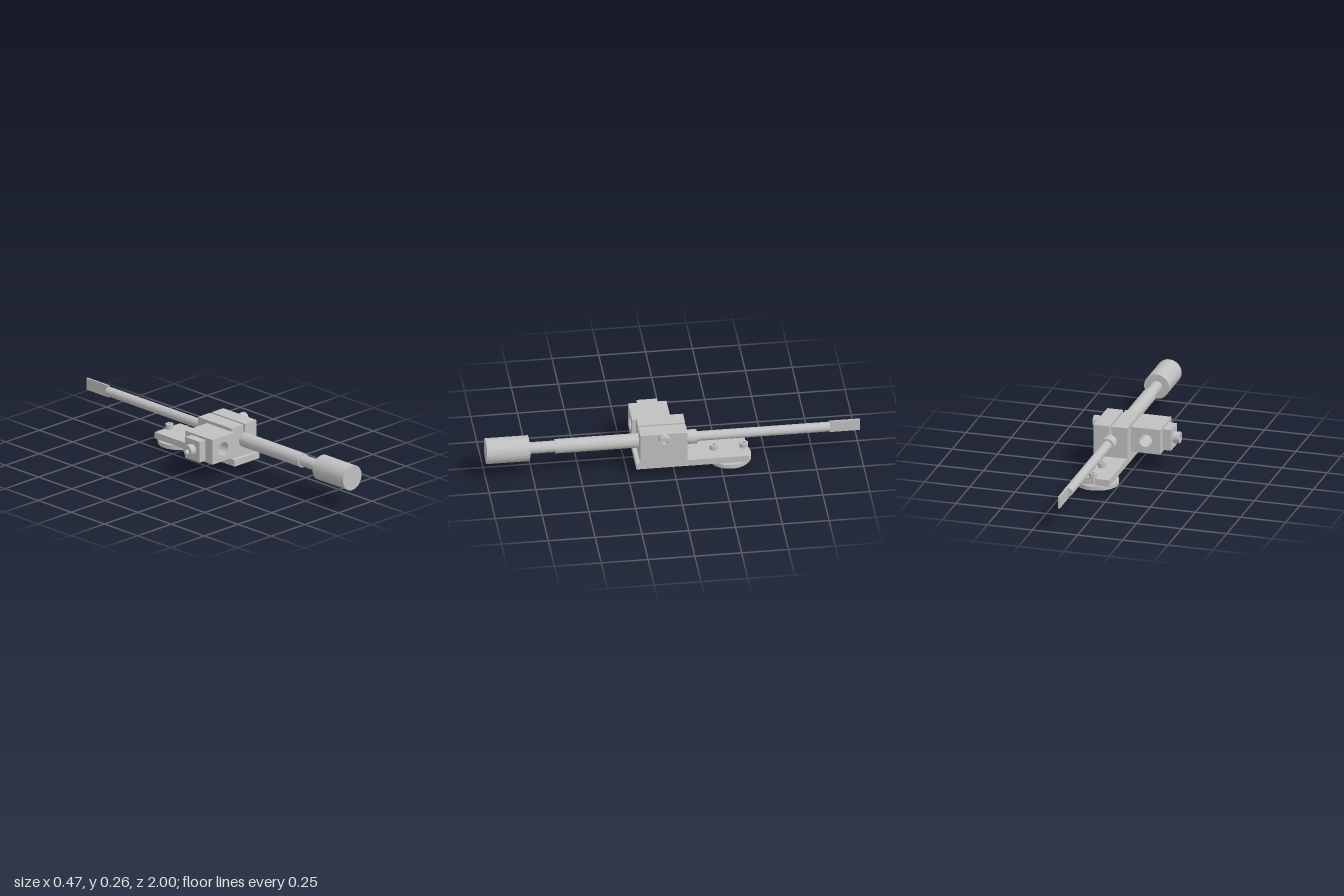
import * as THREE from 'three';

const AX = 0.104; // rod axis x
const AY = 0.17;  // rod axis y

export function createModel() {
  const model = new THREE.Group();
  model.name = 'clampedRodFixture';
  const steel = new THREE.MeshStandardMaterial({ color: 0xc0c0c0, flatShading: true });
  steel.name = 'grey steel';

  function add(name, geometry, x = 0, y = 0, z = 0, parent = model) {
    const mesh = new THREE.Mesh(geometry, steel);
    mesh.name = name;
    mesh.position.set(x, y, z);
    parent.add(mesh);
    return mesh;
  }
  const box = (name, x0, x1, y0, y1, z0, z1) =>
    add(name, new THREE.BoxGeometry(x1 - x0, y1 - y0, z1 - z0), (x0 + x1) / 2, (y0 + y1) / 2, (z0 + z1) / 2);
  const polygon = (points) => new THREE.Shape(points.map(([x, y]) => new THREE.Vector2(x, y)));
  const extrude = (shape, depth) =>
    new THREE.ExtrudeGeometry(shape, { depth, bevelEnabled: false, curveSegments: 32 });

  // cylinder lying along z on the rod axis
  function rod(name, r, z0, z1) {
    const geometry = new THREE.CylinderGeometry(r, r, z1 - z0, 32).rotateX(Math.PI / 2);
    add(name, geometry, AX, AY, (z0 + z1) / 2);
  }

  // socket head screw, base at the origin and head pointing to +z
  function screw(name, r, height, shankR, shankLength) {
    const group = new THREE.Group();
    group.name = name;
    const ring = new THREE.Shape().absarc(0, 0, r, 0, Math.PI * 2);
    const hex = [];
    for (let i = 0; i < 6; i++) {
      const a = -i * Math.PI / 3;
      hex.push(new THREE.Vector2(Math.cos(a) * r * 0.52, Math.sin(a) * r * 0.52));
    }
    ring.holes.push(new THREE.Path(hex));
    const floor = height * 0.4;
    add('socketHead', extrude(ring, height), 0, 0, 0, group);
    add('socketFloor', new THREE.CylinderGeometry(r * 0.6, r * 0.6, floor, 24).rotateX(Math.PI / 2), 0, 0, floor / 2, group);
    add('shank', new THREE.CylinderGeometry(shankR, shankR, shankLength, 24).rotateX(Math.PI / 2), 0, 0, -shankLength / 2, group);
    model.add(group);
    return group;
  }

  // split clamp block with the slot running down to the rod
  const clamp = polygon([[0.01, 0.083], [0.197, 0.083], [0.197, 0.256], [0.11, 0.256],
    [0.11, 0.19], [0.098, 0.19], [0.098, 0.256], [0.01, 0.256]]);
  add('clampBlock', extrude(clamp, 0.252), 0, 0, -0.067);

  // base plate with an open notch at the back end
  const plate = polygon([[0.01, -0.207], [0.197, -0.207], [0.197, 0.395], [AX + 0.012, 0.395],
    [AX + 0.012, 0.375], [AX - 0.012, 0.375], [AX - 0.012, 0.395], [0.01, 0.395]]);
  add('basePlate', extrude(plate, 0.036).rotateX(-Math.PI / 2), 0, 0.047, 0);

  // side block with a through hole
  const side = polygon([[-0.152, 0.1], [0.01, 0.1], [0.01, 0.239], [-0.152, 0.239]]);
  side.holes.push(new THREE.Path().absarc(-0.071, AY, 0.036, 0, Math.PI * 2, true));
  add('sideBlock', extrude(side, 0.205));
  box('sideJaw', -0.198, -0.152, 0.11, 0.227, 0.046, 0.154);

  // rod, handle and flat blade
  rod('mainRod', 0.0385, -0.127, 0.63);
  rod('handleNeck', 0.031, 0.63, 0.77);
  rod('handle', 0.069, 0.77, 1);
  rod('backRod', 0.026, -0.838, -0.127);
  box('flatBlade', AX - 0.005, AX + 0.005, 0.138, 0.204, -1, -0.836);

  // pivot disc and pin under the plate
  add('pivotDisc', new THREE.CylinderGeometry(0.116, 0.116, 0.023, 32), AX, 0.0355, -0.302);
  add('pivotPin', new THREE.CylinderGeometry(0.009, 0.009, 0.03, 20), AX, 0.015, -0.302);

  // screws
  const clampScrew = screw('clampScrew', 0.031, 0.035, 0.014, 0.14);
  clampScrew.position.set(0.197, 0.228, 0.059);
  clampScrew.rotation.y = Math.PI / 2;
  const jawScrew = screw('jawScrew', 0.031, 0.036, 0.014, 0.04);
  jawScrew.position.set(-0.198, AY, 0.098);
  jawScrew.rotation.y = -Math.PI / 2;
  for (const z of [-0.218, -0.379]) {
    const plateScrew = screw('plateScrew', 0.022, 0.027, 0.011, 0.04);
    plateScrew.position.set(AX, 0.083, z);
    plateScrew.rotation.x = -Math.PI / 2;
  }
  return model;
}
